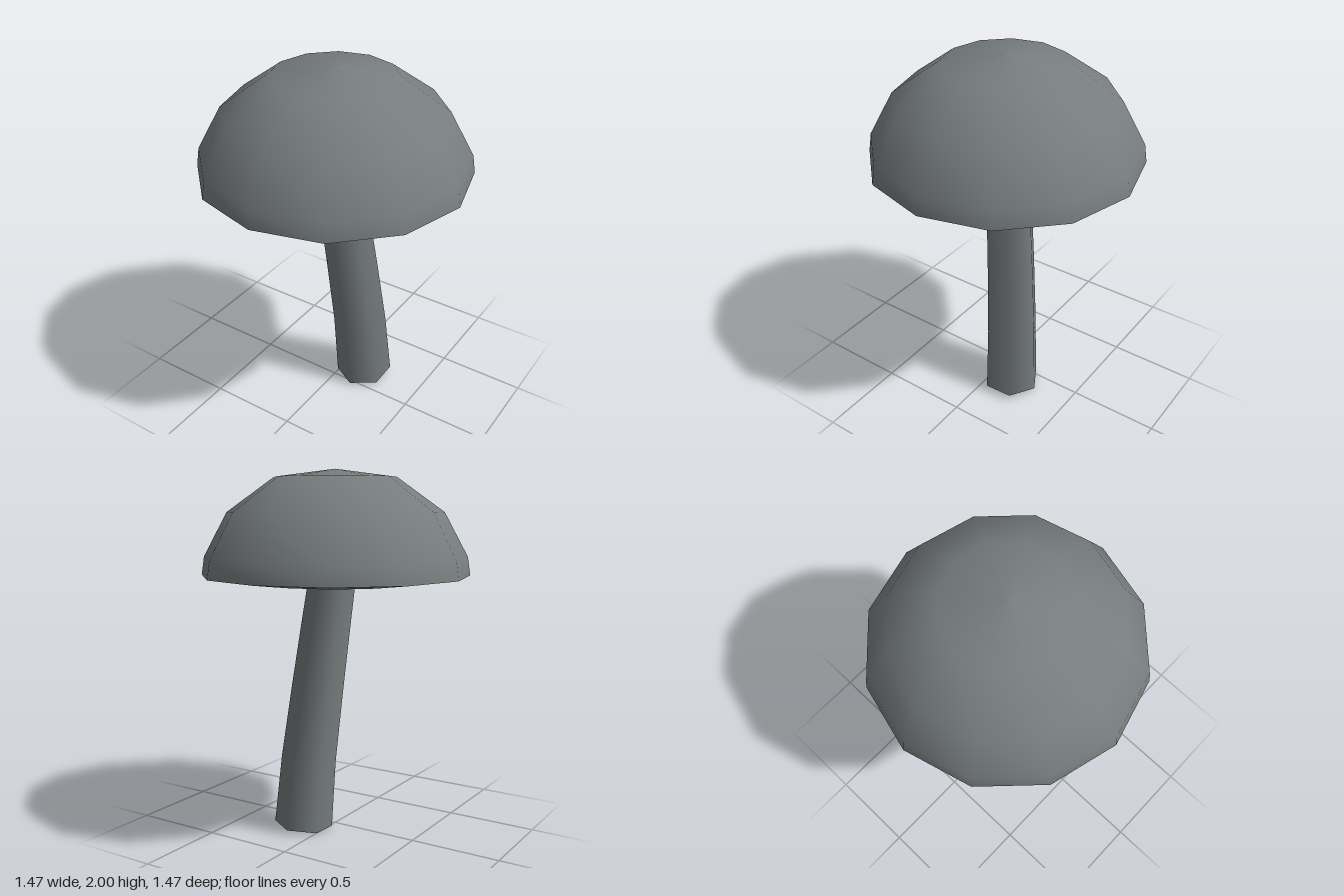
import * as THREE from 'three';

const grey = new THREE.MeshStandardMaterial({ name: 'grey', color: 0x777d7d, side: THREE.DoubleSide });

// Revolves a profile of [radius, height] pairs into a twelve-sided shape
function lathe(name, profile) {
  const points = profile.map(([r, y]) => new THREE.Vector2(r, y));
  const mesh = new THREE.Mesh(new THREE.LatheGeometry(points, 12), grey);
  mesh.name = name;
  return mesh;
}

// Leaning six-sided open tube; each ring is [x, y, z, radius], top to bottom
function createStem() {
  const rings = [
    [0.005, 1.46, -0.01, 0.128],
    [0.033, 1.15, -0.045, 0.135],
    [0.066, 0.8, -0.08, 0.143],
    [0.103, 0.4, -0.115, 0.152],
    [0.13, 0.016, -0.132, 0.162],
  ];
  const sides = 6;
  const geometry = new THREE.CylinderGeometry(1, 1, 1, sides, rings.length - 1, true);
  const position = geometry.attributes.position;
  for (let i = 0; i < position.count; i++) {
    const [x, y, z, r] = rings[Math.floor(i / (sides + 1))];
    const dx = position.getX(i) * r;
    const dz = position.getZ(i) * r;
    // Tilt each ring square to the lean of the stem
    position.setXYZ(i, x + dx, y + 0.07 * dx - 0.05 * dz, z + dz);
  }
  const stem = new THREE.Mesh(geometry, grey);
  stem.name = 'stem';
  return stem;
}

export function createModel() {
  const model = new THREE.Group();
  model.name = 'mushroom';

  // Domed cap with a crisp rim and a shallow underside
  const cap = new THREE.Group();
  cap.name = 'cap';
  cap.add(
    lathe('capDome', [[0.737, 1.43], [0.722, 1.53], [0.592, 1.77], [0.332, 1.957], [0, 2]]),
    lathe('capUnderside', [[0, 1.393], [0.44, 1.393], [0.737, 1.43]]),
  );

  model.add(cap, createStem());
  return model;
}
